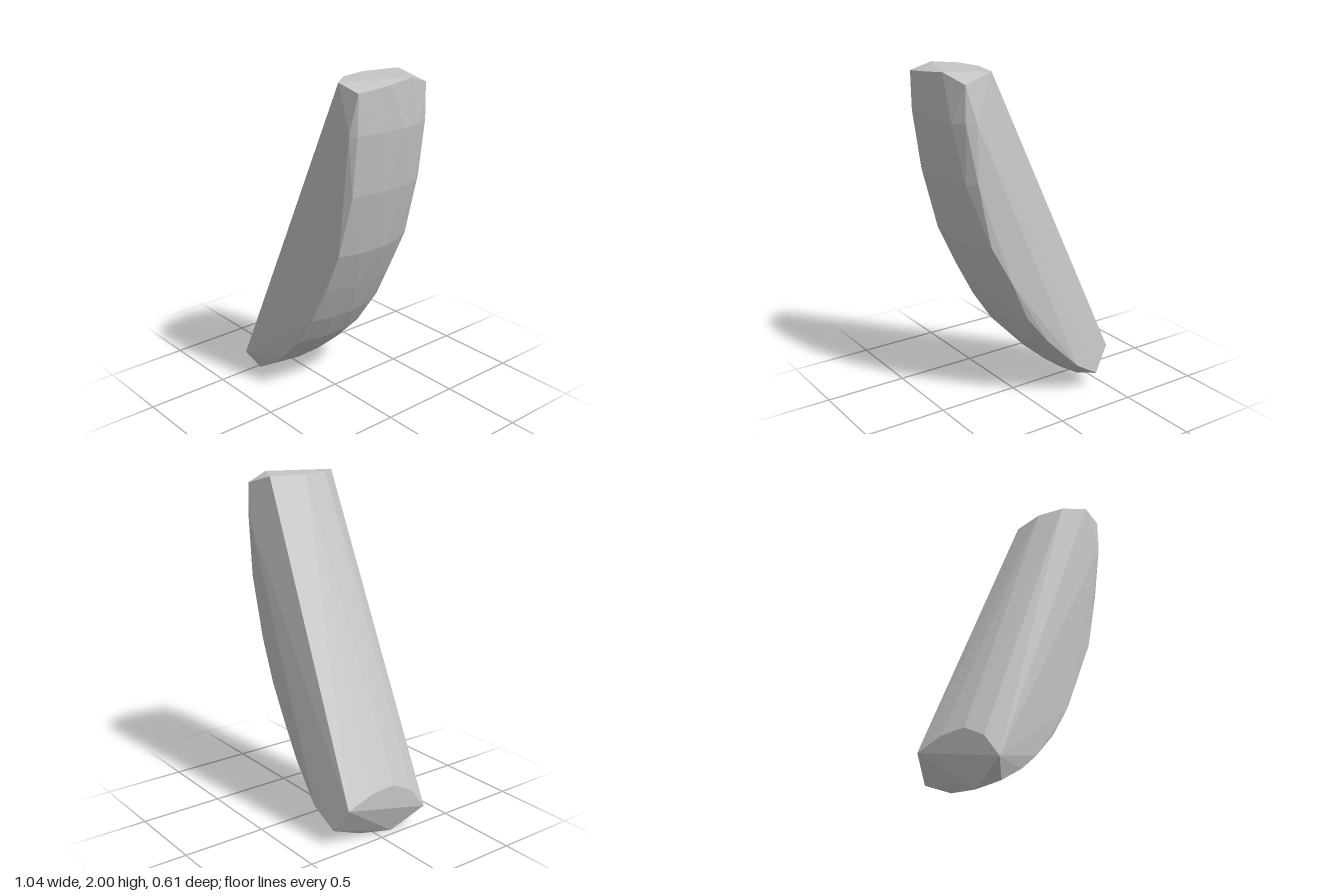
import * as THREE from 'three';
import { ConvexGeometry } from 'three/addons/geometries/ConvexGeometry.js';

export function createModel() {
  const group = new THREE.Group();
  group.name = 'curvedWedge';
  const grey = new THREE.MeshStandardMaterial({ color: 0xc6c6c6 });
  grey.name = 'lightGrey';

  // Corners of the flat top and its chamfer
  const corners = [
    [0.23, 2, 0], [0.28, 2, -0.21], [0.26, 2, 0.165], [0.355, 2, 0.28], [0.505, 2, -0.09],
    [0.46, 1.95, -0.24], [0.497, 1.965, 0.27], [0.52, 1.985, 0.07],
    // Lower end face
    [-0.52, 0.12, 0.302], [-0.52, 0.25, 0.2], [-0.52, 0.32, 0.065], [-0.52, 0.31, -0.09], [-0.52, 0.25, -0.26],
    // Bottom tip
    [-0.46, 0, 0.1], [-0.44, 0.025, 0.25], [-0.42, 0.025, -0.1], [-0.42, 0.1, -0.29],
    // Bulging side panels
    [0.46, 1.75, 0.298], [-0.26, 0.2, -0.305], [0.41, 1.75, -0.268],
  ];

  // Rounded outer back: a shallow arc swept along the curved edge, rows staggered
  const curve = [
    [-0.28, 0.1], [-0.16, 0.2], [0, 0.36], [0.13, 0.55], [0.25, 0.775],
    [0.37, 1.03], [0.47, 1.4], [0.517, 1.74],
  ];
  curve.forEach(([x, y], i) => {
    const a = curve[Math.max(i - 1, 0)], b = curve[Math.min(i + 1, curve.length - 1)];
    const dx = b[0] - a[0], dy = b[1] - a[1], len = Math.hypot(dx, dy);
    const back = -0.298 + 0.036 * (y / 2); // rear side narrows upward
    const row = i % 2
      ? [[0.27, 0.024], [0.13, 0.004], [-0.04, 0], [-0.16, 0.018], [back + 0.025, 0.055]]
      : [[0.262, 0.022], [0.06, 0], [-0.1, 0.007], [-0.2, 0.028], [back + 0.01, 0.07]];
    for (const [z, inset] of row) {
      corners.push([x - (dy / len) * inset, y + (dx / len) * inset, z]);
    }
  });

  const body = new THREE.Mesh(
    new ConvexGeometry(corners.map((p) => new THREE.Vector3(...p))), grey);
  body.name = 'facetedBody';
  group.add(body);
  return group;
}
